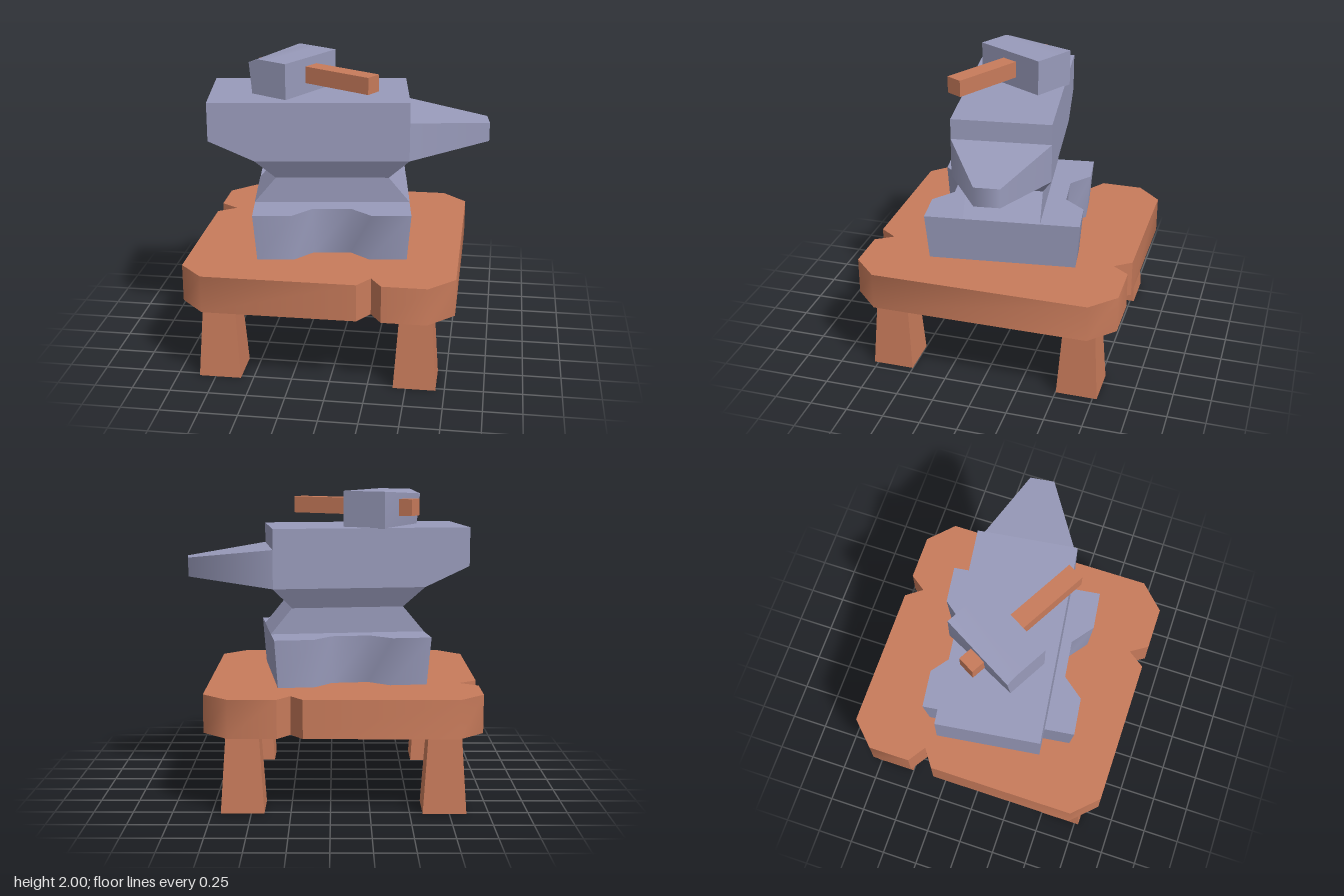
import * as THREE from 'three';
import { toCreasedNormals } from 'three/addons/utils/BufferGeometryUtils.js';

// Joins stacked outlines [y, [[x, z], ...]] listed bottom to top, each counter-clockwise from above
function loft(levels, crease = 0.05) {
  const pos = [];
  const put = (level, i) => {
    const [y, ring] = level;
    const [x, z] = ring[i % ring.length];
    pos.push(x, y, z);
  };
  for (let k = 0; k < levels.length - 1; k++) {
    const a = levels[k], b = levels[k + 1];
    for (let i = 0; i < a[1].length; i++) {
      put(a, i); put(a, i + 1); put(b, i + 1);
      put(a, i); put(b, i + 1); put(b, i);
    }
  }
  const bottom = levels[0], top = levels[levels.length - 1];
  const outline = bottom[1].map(([x, z]) => new THREE.Vector2(x, -z));
  for (const [i, j, k] of THREE.ShapeUtils.triangulateShape(outline, [])) {
    put(top, i); put(top, j); put(top, k);
    put(bottom, k); put(bottom, j); put(bottom, i);
  }
  const geo = new THREE.BufferGeometry();
  geo.setAttribute('position', new THREE.Float32BufferAttribute(pos, 3));
  geo.computeVertexNormals();
  return toCreasedNormals(geo, crease);
}

const rect = (x0, x1, hz) => [[x0, -hz], [x0, hz], [x1, hz], [x1, -hz]];

export function createModel() {
  const model = new THREE.Group();
  model.name = 'anvilOnTable';
  const wood = new THREE.MeshStandardMaterial({ color: 0xc87b5b });
  wood.name = 'reddish wood';
  const steel = new THREE.MeshStandardMaterial({ color: 0x999bbb });
  steel.name = 'blue grey steel';

  const add = (parent, name, geo, mat) => {
    const mesh = new THREE.Mesh(geo, mat);
    mesh.name = name;
    parent.add(mesh);
    return mesh;
  };

  // Table top with cut corners and three split notches
  const slab = [
    [-0.8, -0.88], [-0.96, -0.72], [-0.96, -0.44], [-0.84, -0.36], [-0.96, -0.275],
    [-0.96, 0.715], [-0.8, 0.88], [0.19, 0.88], [0.27, 0.765], [0.345, 0.88],
    [0.635, 0.88], [0.8, 0.715], [0.8, -0.72], [0.635, -0.88],
    [0.33, -0.88], [0.25, -0.77], [0.17, -0.88],
  ];
  add(model, 'tableTop', loft([[0.51, slab], [0.757, slab]], 0.87), wood);

  // Tapered legs
  const legGeo = loft([[0, rect(-0.138, 0.138, 0.138)], [0.515, rect(-0.104, 0.104, 0.104)]]);
  for (const x of [-0.72, 0.555]) {
    for (const z of [-0.64, 0.64]) add(model, 'tableLeg', legGeo, wood).position.set(x, 0, z);
  }

  // Anvil, turned slightly on the table
  const anvil = new THREE.Group();
  anvil.name = 'anvil';
  anvil.position.set(-0.2275, 0, 0.035);
  anvil.rotation.y = 0.131;
  model.add(anvil);

  add(anvil, 'anvilBody', loft([
    [1.07, rect(-0.363, 0.66, 0.253)],
    [1.24, rect(-0.22, 0.52, 0.253)],
    [1.375, rect(-0.354, 0.65, 0.3225)],
    [1.51, rect(-0.65, 0.65, 0.3225)],
    [1.765, rect(-0.65, 0.65, 0.3225)],
  ]), steel);

  // Foot with a recess on both long sides
  const side = [[-0.51, 0.511], [-0.257, 0.511], [-0.126, 0.382], [0.126, 0.382], [0.257, 0.511], [0.51, 0.511]];
  const foot = [...side, ...side.map(([x, z]) => [-x, -z])];
  const shrunk = foot.map(([x, z]) => [x * 0.953, z * 0.953]);
  add(anvil, 'anvilFoot', loft([[0.757, shrunk], [1.07, foot]], 0.82), steel).position.x = 0.149;

  // Horn, lofted upright then laid along x
  const horn = loft([
    [0.65, rect(-1.63, -1.375, 0.3225)],
    [1.188, rect(-1.565, -1.44, 0.081)],
  ], 1.22);
  horn.rotateZ(-Math.PI / 2);
  add(anvil, 'anvilHorn', horn, steel);

  // Hammer lying on the anvil
  const hammer = new THREE.Group();
  hammer.name = 'hammer';
  hammer.position.set(-0.345, 1.88, 0.0025);
  hammer.rotation.y = -0.508;
  model.add(hammer);

  // Head with one worn corner
  const head = new THREE.BoxGeometry(0.305, 0.24, 0.53, 4, 1, 1);
  const p = head.attributes.position;
  for (let i = 0; i < p.count; i++) {
    if (p.getX(i) > -0.15 || p.getZ(i) < 0) continue;
    if (p.getY(i) > 0) p.setY(i, 0.09);
    else p.setX(i, -0.128);
  }
  add(hammer, 'hammerHead', toCreasedNormals(head, 0.6), steel);

  add(hammer, 'hammerHandle', new THREE.BoxGeometry(0.9, 0.11, 0.116), wood).position.set(0.205, 0.01, 0);

  return model;
}
